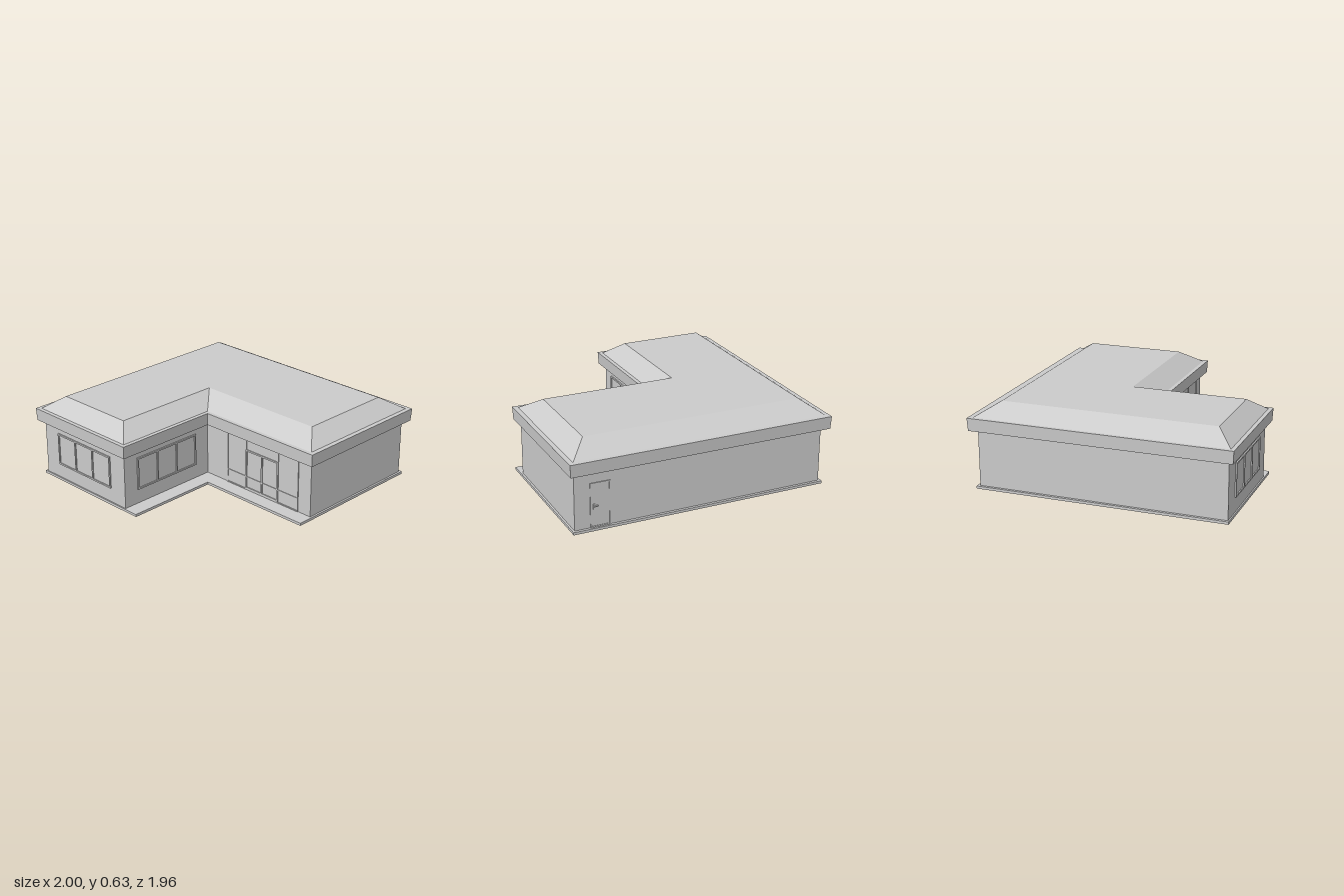
import * as THREE from 'three';

const material = new THREE.MeshStandardMaterial({ color: 0xcccccc, flatShading: true });

// L-shaped outline: outer limits plus the inner corner (xi, zi)
const outline = (y, x0, x1, z0, z1, xi, zi) =>
  [[x0, z0], [x1, z0], [x1, zi], [xi, zi], [xi, z1], [x0, z1]].map(([x, z]) => [x, y, z]);

// Solid skinned through stacked L outlines, closed at both ends
function loft(name, rings) {
  const positions = [];
  const tri = (a, b, c) => positions.push(...a, ...b, ...c);
  for (let r = 0; r < rings.length - 1; r++) {
    const lo = rings[r], up = rings[r + 1];
    for (let i = 0; i < 6; i++) {
      const j = (i + 1) % 6;
      tri(lo[i], up[i], lo[j]);
      tri(lo[j], up[i], up[j]);
    }
  }
  const bottom = rings[0], top = rings[rings.length - 1];
  for (let i = 1; i < 5; i++) {
    tri(bottom[0], bottom[i], bottom[i + 1]);
    tri(top[0], top[i + 1], top[i]);
  }
  const geometry = new THREE.BufferGeometry();
  geometry.setAttribute('position', new THREE.Float32BufferAttribute(positions, 3));
  geometry.computeVertexNormals();
  const mesh = new THREE.Mesh(geometry, material);
  mesh.name = name;
  return mesh;
}

// Box standing out from a wall: x and y limits, and depth from the wall face
function slab(parent, name, x0, x1, y0, y1, depth) {
  const mesh = new THREE.Mesh(new THREE.BoxGeometry(x1 - x0, y1 - y0, depth + 0.004), material);
  mesh.position.set((x0 + x1) / 2, (y0 + y1) / 2, (depth - 0.004) / 2);
  mesh.name = name;
  parent.add(mesh);
}

// Rectangular frame with a recessed panel, split into equal panes
function framed(parent, name, x0, x1, y0, y1, panes, bar = 0.012, depth = 0.01) {
  const group = new THREE.Group();
  group.name = name;
  slab(group, 'panel', x0, x1, y0, y1, 0.002);
  slab(group, 'bottomRail', x0, x1, y0, y0 + bar, depth);
  slab(group, 'topRail', x0, x1, y1 - bar, y1, depth);
  for (let i = 0; i <= panes; i++) {
    const x = x0 + (x1 - x0 - bar) * i / panes;
    slab(group, 'upright', x, x + bar, y0 + bar, y1 - bar, depth);
  }
  parent.add(group);
}

// Group whose local z faces out of a wall
function wallSide(parent, name, x, z, turn) {
  const group = new THREE.Group();
  group.name = name;
  group.position.set(x, 0, z);
  group.rotation.y = turn;
  parent.add(group);
  return group;
}

export function createModel() {
  const model = new THREE.Group();
  model.name = 'building';

  // Main masses
  model.add(loft('baseSlab', [
    outline(0, -0.97, 0.97, -0.94, 0.94, 0.05, 0.22),
    outline(0.02, -0.97, 0.97, -0.94, 0.94, 0.05, 0.22),
  ]));
  model.add(loft('walls', [
    outline(0.02, -0.95, 0.955, -0.92, 0.93, -0.07, 0.1),
    outline(0.45, -0.95, 0.955, -0.92, 0.93, -0.07, 0.1),
  ]));
  model.add(loft('roof', [
    outline(0.44, -0.995, 0.995, -0.975, 0.97, -0.025, 0.145),
    outline(0.535, -1, 1, -0.98, 0.975, -0.02, 0.15),
    outline(0.535, -0.97, 0.965, -0.945, 0.945, -0.05, 0.12),
    outline(0.635, -0.83, 0.83, -0.785, 0.82, -0.19, -0.04),
  ]));

  // Three-pane windows on the wing
  const front = wallSide(model, 'wingFront', 0, 0.93, 0);
  framed(front, 'frontWindow', -0.8, -0.22, 0.13, 0.38, 3);
  const side = wallSide(model, 'wingSide', -0.07, 0, Math.PI / 2);
  framed(side, 'sideWindow', -0.81, -0.23, 0.13, 0.38, 3);

  // Glazed entrance with double door
  const entrance = wallSide(model, 'entrance', 0, 0.1, 0);
  framed(entrance, 'entranceFrame', 0.14, 0.84, 0.02, 0.44, 1, 0.008, 0.007);
  framed(entrance, 'doubleDoor', 0.33, 0.65, 0.03, 0.345, 2);
  for (const [x0, x1] of [[0.14, 0.33], [0.65, 0.84]]) {
    slab(entrance, 'sideRail', x0, x1, 0.12, 0.128, 0.007);
  }
  slab(entrance, 'doorRail', 0.34, 0.64, 0.12, 0.128, 0.007);
  for (const x of [0.33, 0.642]) slab(entrance, 'transomPost', x, x + 0.008, 0.345, 0.44, 0.007);

  // Back door with handle
  const back = wallSide(model, 'backWall', 0, -0.92, Math.PI);
  framed(back, 'backDoor', -0.84, -0.69, 0.02, 0.35, 1, 0.01, 0.006);
  slab(back, 'handlePlate', -0.82, -0.805, 0.155, 0.195, 0.008);
  slab(back, 'handle', -0.818, -0.785, 0.175, 0.183, 0.016);

  return model;
}
